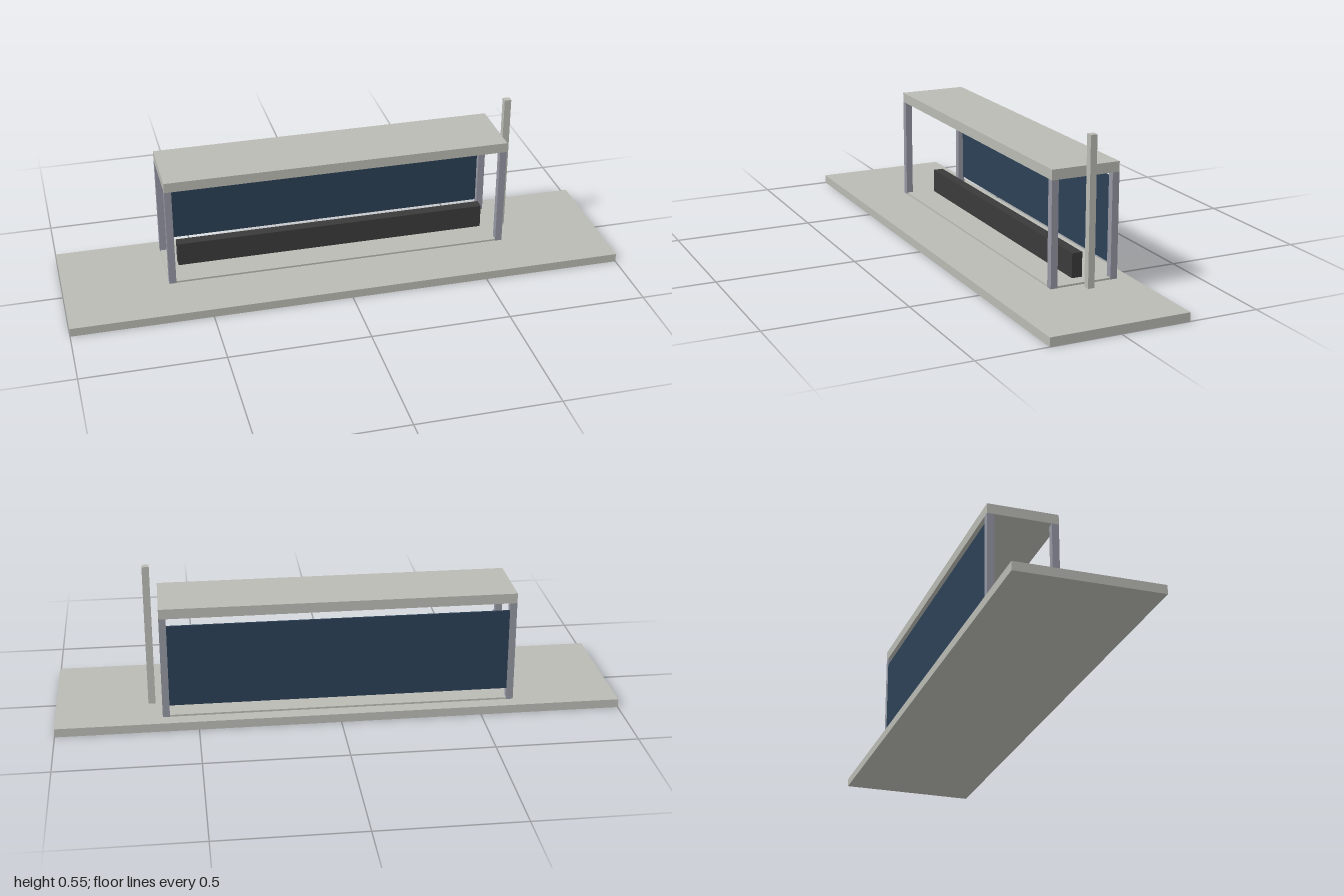
import * as THREE from 'three';

const mat = (name, color) => {
  const m = new THREE.MeshStandardMaterial({ color });
  m.name = name;
  return m;
};

export function createModel() {
  const concrete = mat('concrete grey', 0xbabab4);
  const steel = mat('steel grey', 0x9496a2);
  const dark = mat('dark seat', 0x3a3a3a);
  const glass = mat('dark blue panel', 0x2b4055);

  const group = new THREE.Group();
  group.name = 'shelter';

  // Box given by its minimum and maximum corners
  const box = (name, material, [x0, y0, z0], [x1, y1, z1]) => {
    const mesh = new THREE.Mesh(new THREE.BoxGeometry(x1 - x0, y1 - y0, z1 - z0), material);
    mesh.position.set((x0 + x1) / 2, (y0 + y1) / 2, (z0 + z1) / 2);
    mesh.name = name;
    group.add(mesh);
  };

  // Platform and the thin floor slab under the shelter
  box('platform', concrete, [-1, 0, -0.25], [1, 0.031, 0.25]);
  box('floorSlab', concrete, [-0.624, 0.031, -0.199], [0.624, 0.0375, 0.049]);

  // Four corner posts
  for (const [side, x] of [['right', -0.625], ['left', 0.6]]) {
    for (const [end, z] of [['Back', -0.2], ['Front', 0.025]]) {
      box(side + end + 'Post', steel, [x, 0.031, z], [x + 0.025, 0.402, z + 0.025]);
    }
  }

  // Roof, rear panel and bench
  box('roof', concrete, [-0.625, 0.402, -0.2], [0.625, 0.438, 0.05]);
  box('rearPanel', glass, [-0.6, 0.075, -0.2], [0.6, 0.375, -0.194]);
  box('bench', dark, [-0.575, 0.0375, -0.094], [0.575, 0.125, -0.056]);

  // Sign pole beside the shelter
  box('signPole', concrete, [0.649, 0.031, -0.0865], [0.674, 0.552, -0.0625]);

  return group;
}
